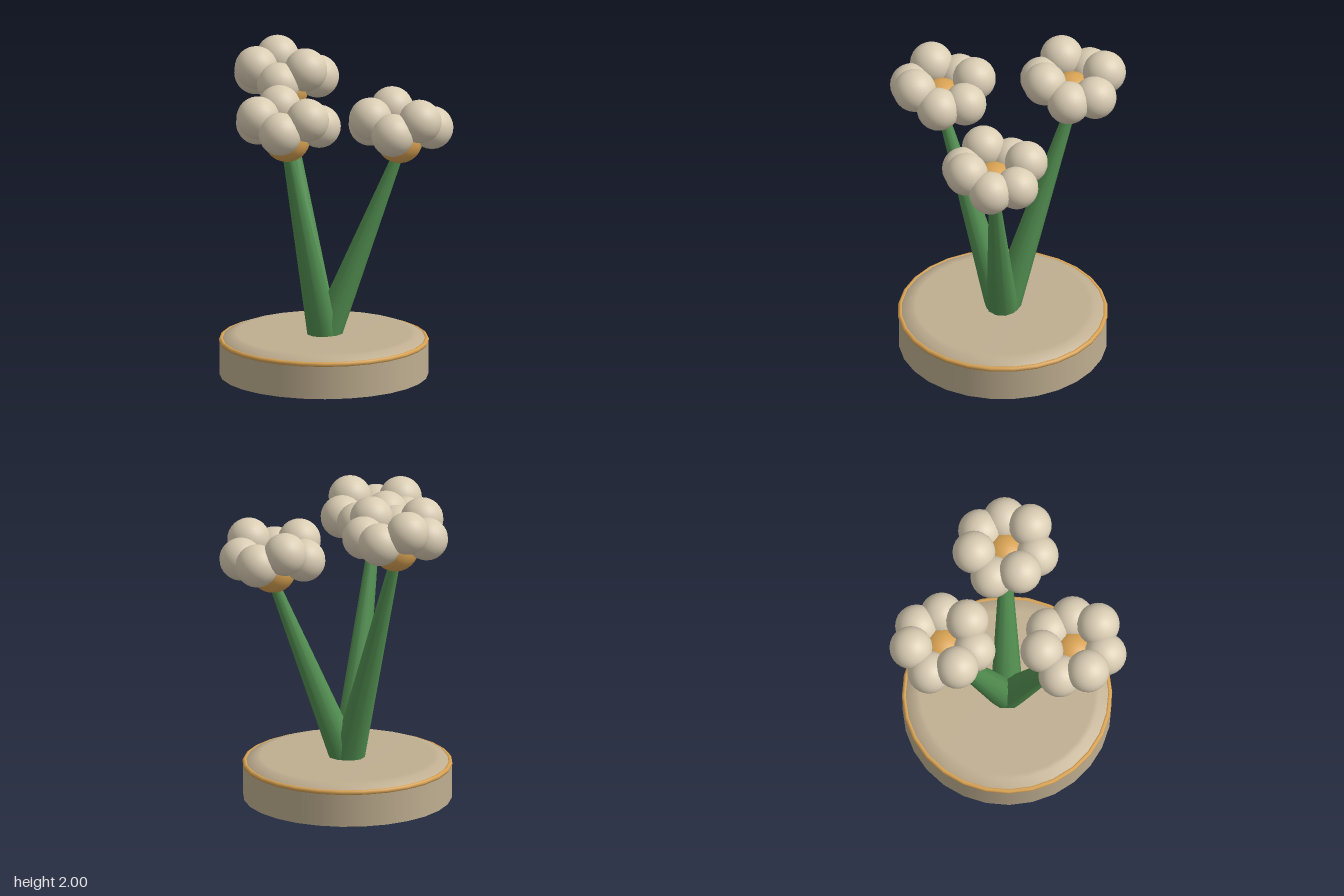
import * as THREE from 'three';

const mat = (name, color) => {
  const m = new THREE.MeshStandardMaterial({ color });
  m.name = name;
  return m;
};

export function createModel() {
  const stone = mat('stone', 0xbfae90);
  const gold = mat('gold', 0xd8a253);
  const green = mat('stemGreen', 0x528f51);
  const cream = mat('petalCream', 0xdacdb4);

  const model = new THREE.Group();
  model.name = 'flowerStand';
  const add = (parent, name, geometry, material, x = 0, y = 0, z = 0) => {
    const mesh = new THREE.Mesh(geometry, material);
    mesh.name = name;
    mesh.position.set(x, y, z);
    parent.add(mesh);
    return mesh;
  };

  const centreX = -0.078;
  const sides = 28;

  // Round base: drum, softly bevelled top and a gold rim
  add(model, 'baseDrum', new THREE.CylinderGeometry(0.645, 0.645, 0.212, sides), stone, centreX, 0.106);
  const bevel = [[0.64, 0.212], [0.62, 0.236], [0.57, 0.257], [0.54, 0.26], [0, 0.26]]
    .map(([r, y]) => new THREE.Vector2(r, y));
  add(model, 'baseTop', new THREE.LatheGeometry(bevel, sides), stone, centreX);
  const rim = add(model, 'baseRim', new THREE.TorusGeometry(0.634, 0.016, 8, sides), gold, centreX, 0.217);
  rim.rotation.x = Math.PI / 2;

  // Three flowers lean out evenly from the middle, each at its own height
  const coreGeometry = new THREE.SphereGeometry(0.145, 24, 16);
  const petalGeometry = new THREE.SphereGeometry(0.133, 24, 16);
  const up = new THREE.Vector3(0, 1, 0);
  const foot = new THREE.Vector3(centreX, 0.22, 0);

  [1.415, 1.528, 1.642].forEach((tipY, i) => {
    const angle = (i * Math.PI * 2) / 3;
    const flower = new THREE.Group();
    flower.name = 'flower' + (i + 1);
    model.add(flower);

    // Tapered stem from the base to the bloom
    const tip = new THREE.Vector3(centreX + 0.467 * Math.cos(angle), tipY, 0.467 * Math.sin(angle));
    const axis = tip.clone().sub(foot);
    const stem = add(flower, 'stem', new THREE.CylinderGeometry(0.032, 0.101, axis.length(), 10), green);
    stem.position.copy(foot).addScaledVector(axis, 0.5);
    stem.quaternion.setFromUnitVectors(up, axis.normalize());

    // Bloom: a core ringed by seven petals, alternately low and high
    const bloom = new THREE.Group();
    bloom.name = 'bloom';
    bloom.position.copy(tip);
    flower.add(bloom);
    add(bloom, 'core', coreGeometry, gold, 0, 0.073, 0);
    for (let k = 0; k < 7; k++) {
      const a = (k * Math.PI * 2) / 7;
      add(bloom, 'petal' + (k + 1), petalGeometry, cream,
        0.2 * Math.cos(a), k % 2 ? 0.227 : 0.15, 0.2 * Math.sin(a));
    }
  });

  return model;
}
